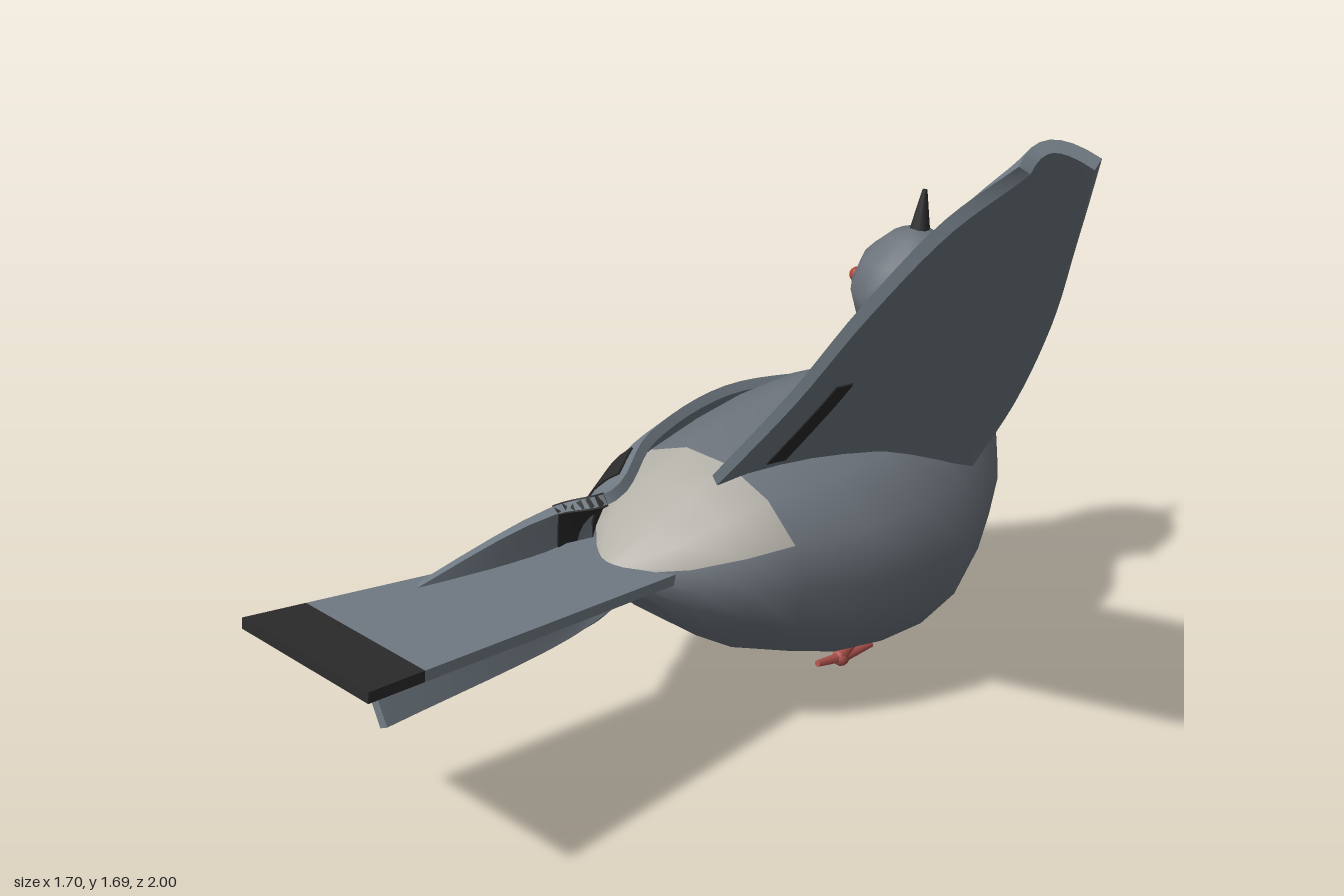
import * as THREE from 'three';
import { mergeGeometries } from 'three/addons/utils/BufferGeometryUtils.js';

const CX = -0.44; // the body's own centre line
const V = (x, y, z) => new THREE.Vector3(x, y, z);

function makeMaterials() {
  const colors = {
    bodyGrey: 0x6c737b, wingGrey: 0x727c85, rumpWhite: 0xb3b0a8, breastPurple: 0x683f6c,
    neckGreen: 0x2f6b48, charcoal: 0x2b2b2b, footRed: 0xb0544e, eyeRed: 0xb04436,
  };
  const mats = {};
  for (const [name, color] of Object.entries(colors)) {
    mats[name] = new THREE.MeshStandardMaterial({ color });
    mats[name].name = name;
  }
  return mats;
}

// Rectangular patch of a surface f(a, b), facing da x db
function grid(f, na, nb) {
  const pos = [], index = [];
  for (let i = 0; i <= na; i++) for (let j = 0; j <= nb; j++) pos.push(...f(i / na, j / nb).toArray());
  for (let i = 0; i < na; i++) for (let j = 0; j < nb; j++) {
    const p = i * (nb + 1) + j, q = p + nb + 1;
    index.push(p, q, p + 1, q, q + 1, p + 1);
  }
  const g = new THREE.BufferGeometry();
  g.setAttribute('position', new THREE.Float32BufferAttribute(pos, 3));
  g.setIndex(index);
  g.computeVertexNormals();
  return g;
}

// Closed slab below the surface P(u, v), raised by lift, with sharp rims
function slab(P, [u0, u1], [v0, v1], nu, nv, thick, lift = 0) {
  const e = 0.01, c = (t) => Math.min(1, Math.max(0, t));
  const Q = (a, b, w) => {
    const u = u0 + (u1 - u0) * a, v = v0 + (v1 - v0) * b;
    const du = P(c(u + e), v).sub(P(c(u - e), v));
    const dv = P(u, c(v + e)).sub(P(u, c(v - e)));
    return P(u, v).addScaledVector(du.cross(dv).normalize(), w ? lift + (w - 1) * (thick + 2 * lift) : -thick - lift);
  };
  return mergeGeometries([
    grid((a, b) => Q(a, b, 1), nu, nv),
    grid((a, b) => Q(b, a, 0), nv, nu),
    grid((a, b) => Q(a, 0, b), nu, 1),
    grid((a, b) => Q(a, 1, 1 - b), nu, 1),
    grid((a, b) => Q(0, a, 1 - b), nv, 1),
    grid((a, b) => Q(1, a, b), nv, 1),
  ]);
}

// Body, neck and head: rings given as back (z, y), belly (z, y), half width
const RINGS = [
  [0.2, 0.455, 0.2, 0.41, 0.05], [0.1, 0.52, 0.1, 0.3, 0.18], [0, 0.575, 0, 0.22, 0.26],
  [-0.1, 0.62, -0.1, 0.155, 0.315], [-0.28, 0.645, -0.28, 0.08, 0.37], [-0.43, 0.665, -0.43, 0.05, 0.385],
  [-0.6, 0.68, -0.58, 0.032, 0.365], [-0.72, 0.67, -0.72, 0.115, 0.315], [-0.79, 0.655, -0.81, 0.19, 0.27],
  [-0.81, 0.65, -0.88, 0.25, 0.23], [-0.82, 0.645, -0.95, 0.33, 0.19], [-0.815, 0.648, -0.995, 0.5, 0.145],
  [-0.8, 0.665, -0.96, 0.675, 0.125], [-0.74, 0.71, -0.925, 0.76, 0.133], [-0.66, 0.765, -0.905, 0.84, 0.147],
  [-0.632, 0.85, -0.897, 0.9, 0.145], [-0.66, 0.93, -0.868, 0.96, 0.11], [-0.72, 0.982, -0.825, 0.995, 0.055],
];

function bodyGeometry() {
  const N = 14, pos = [], faces = [[], [], [], []];
  for (const [bz, by, fz, fy, rx] of RINGS) for (let j = 0; j < N; j++) {
    const a = (j + 0.5) * 2 * Math.PI / N, k = Math.cos(a) / (2 * Math.cos(Math.PI / N));
    pos.push(CX + rx * Math.sin(a), (by + fy) / 2 + (fy - by) * k, (bz + fz) / 2 + (fz - bz) * k);
  }
  // 0 grey, 1 white rump, 2 purple breast, 3 green neck; k counts up from the belly to the back
  const paint = (i, k) => {
    if (i < 3 && k >= 5) return 1;
    if (i >= 8 && i <= 11 && k <= 3) return 2;
    if ((i === 11 && k >= 4) || (i === 12 && k >= 5) || (i === 10 && k === 4)) return 3;
    return 0;
  };
  const last = RINGS.length - 1;
  for (let j = 0; j < N; j++) {
    const n = (j + 1) % N, k = Math.min(n, N - n);
    for (let i = 0; i < last; i++) {
      const p = i * N + j, q = i * N + n;
      faces[paint(i, k)].push(p, p + N, q, p + N, q + N, q);
    }
    faces[0].push(pos.length / 3, j, n, pos.length / 3 + 1, last * N + n, last * N + j);
  }
  pos.push(CX, 0.433, 0.205, CX, 1.0, -0.775);
  const g = new THREE.BufferGeometry();
  g.setAttribute('position', new THREE.Float32BufferAttribute(pos, 3));
  g.setIndex(faces.flat());
  let start = 0;
  faces.forEach((f, m) => { g.addGroup(start, f.length, m); start += f.length; });
  g.computeVertexNormals();
  return g;
}

// Raised wing surface: u from root to tip, v from trailing to leading edge
const trailing = new THREE.CatmullRomCurve3([
  V(-0.37, 0.61, -0.05), V(0.03, 0.97, 0.1), V(0.35, 1.28, 0.22), V(0.6, 1.52, 0.275), V(0.77, 1.655, 0.285)]);
const leading = new THREE.CatmullRomCurve3([
  V(-0.13, 0.54, -0.66), V(0.1, 0.81, -0.53), V(0.4, 1.14, -0.28), V(0.65, 1.43, -0.04), V(0.84, 1.655, 0.15)]);
const raisedWing = (u, v) => trailing.getPoint(u).lerp(leading.getPoint(u), v)
  .addScaledVector(V(-0.66, 0.74, -0.1), 0.18 * v * (1 - v));

// Folded wing surface: u from shoulder to feather tips, v from lower to upper edge
const lower = new THREE.CatmullRomCurve3([
  V(-0.75, 0.22, -0.72), V(-0.79, 0.18, -0.4), V(-0.7, 0.2, -0.1), V(-0.58, 0.23, 0.12), V(-0.55, 0.24, 0.25), V(-0.505, 0.25, 0.79)]);
const middle = new THREE.CatmullRomCurve3([
  V(-0.8, 0.42, -0.72), V(-0.85, 0.42, -0.4), V(-0.79, 0.42, -0.1), V(-0.68, 0.41, 0.12), V(-0.6, 0.4, 0.25), V(-0.555, 0.36, 0.79)]);
const upper = new THREE.CatmullRomCurve3([
  V(-0.67, 0.59, -0.72), V(-0.7, 0.63, -0.4), V(-0.64, 0.615, -0.1), V(-0.52, 0.58, 0.12), V(-0.58, 0.56, 0.25), V(-0.6, 0.46, 0.79)]);
const foldedWing = (u, v) => lower.getPoint(u).multiplyScalar((1 - v) * (1 - 2 * v))
  .addScaledVector(middle.getPoint(u), 4 * v * (1 - v))
  .addScaledVector(upper.getPoint(u), v * (2 * v - 1));

// Flat tail fan, widening to the rear
const tailTop = (u, v) => {
  const z = 0.08 + 0.92 * u;
  return V(CX + (2 * v - 1) * (0.14 + 0.096 * (z - 0.17)), 0.455 + 0.1 * (z - 0.2), z);
};

// Tapered rod between two points
function rod(a, b, ra, rb, sides = 6) {
  const d = b.clone().sub(a), g = new THREE.CylinderGeometry(rb, ra, d.length(), sides);
  g.applyQuaternion(new THREE.Quaternion().setFromUnitVectors(V(0, 1, 0), d.clone().normalize()));
  const m = a.clone().add(b).multiplyScalar(0.5);
  return g.translate(m.x, m.y, m.z);
}

export function createModel() {
  const M = makeMaterials(), model = new THREE.Group();
  model.name = 'bird';
  const add = (name, geometry, material) => {
    const mesh = new THREE.Mesh(geometry, material);
    mesh.name = name;
    model.add(mesh);
    return mesh;
  };

  add('body', bodyGeometry(), [M.bodyGrey, M.rumpWhite, M.breastPurple, M.neckGreen]);
  add('beak', rod(V(CX, 0.98, -0.8), V(CX, 1.09, -0.818), 0.028, 0.006, 10), M.charcoal);

  // Wings and their dark bars
  add('raisedWing', slab(raisedWing, [0, 1], [0, 1], 20, 8, 0.025), M.wingGrey);
  add('raisedWingBar', slab(raisedWing, [0.03, 0.27], [0.17, 0.25], 8, 2, 0.025, 0.004), M.charcoal);
  add('foldedWing', slab(foldedWing, [0, 1], [0, 1], 30, 8, 0.025), M.wingGrey);
  add('foldedWingFrontBar', slab(foldedWing, [0.44, 0.525], [0.22, 0.95], 4, 8, 0.025, 0.004), M.charcoal);
  add('foldedWingRearBar', slab(foldedWing, [0.63, 0.79], [0.25, 1], 6, 8, 0.025, 0.004), M.charcoal);

  // Tail with dark end band
  add('tail', slab(tailTop, [0, 0.842], [0, 1], 1, 1, 0.025), M.wingGrey);
  add('tailBand', slab(tailTop, [0.842, 1], [0, 1], 1, 1, 0.025), M.charcoal);

  for (const s of [-1, 1]) {
    const side = s > 0 ? 'left' : 'right';
    // Eyes
    const eye = add(side + 'Eye', new THREE.SphereGeometry(0.02, 10, 8), M.eyeRed);
    eye.position.set(CX + s * 0.137, 0.862, -0.73);
    const pupil = add(side + 'Pupil', new THREE.SphereGeometry(0.01, 8, 6), M.charcoal);
    pupil.position.set(CX + s * 0.15, 0.862, -0.73);
    // Leg, three front toes and a hind toe
    const x = CX + s * 0.115, ankle = V(x, 0.022, -0.42);
    const parts = [rod(V(CX + s * 0.15, 0.08, -0.43), ankle, 0.014, 0.014),
      rod(ankle, V(x, 0.035, -0.34), 0.014, 0.009)];
    for (const t of [-1, 0, 1]) parts.push(rod(ankle, V(x + t * 0.025, t ? 0.04 : 0.06, t ? -0.5 : -0.545), 0.016, 0.01));
    parts.push(new THREE.IcosahedronGeometry(0.022, 1).translate(x, 0.022, -0.42).toNonIndexed());
    add(side + 'Foot', mergeGeometries(parts.map((g) => (g.index ? g.toNonIndexed() : g))), M.footRed);
  }
  return model;
}
